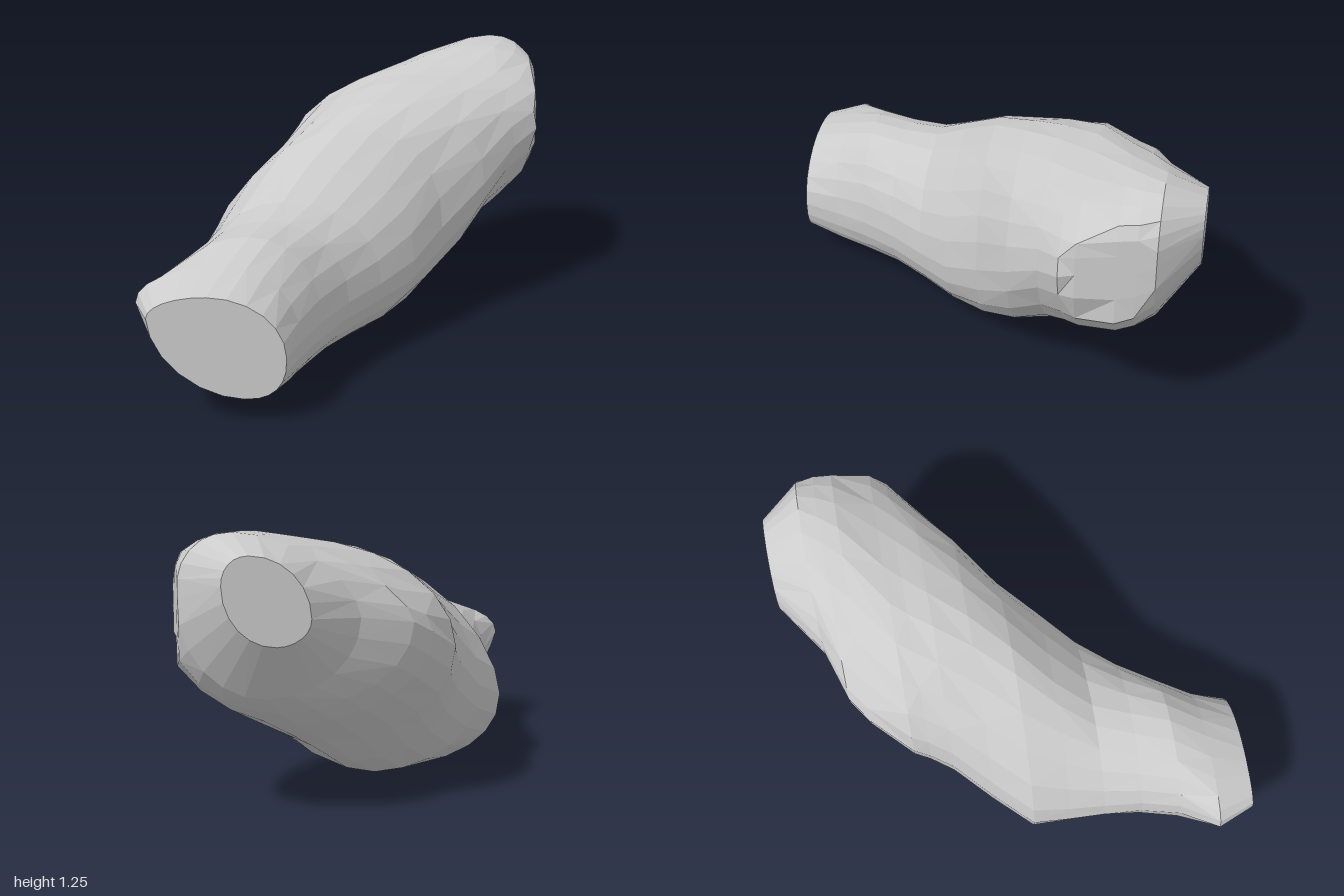
import * as THREE from 'three';

// Cross-sections along z: z, then (x, y) of the low-x, high-x, top and bottom extremes
const SECTIONS = [
  [1.00, -0.82, 0.48, -0.24, 0.31, -0.57, 0.58, -0.42, 0.12],
  [0.83, -0.89, 0.48, -0.19, 0.31, -0.50, 0.65, -0.42, 0.06],
  [0.67, -0.78, 0.42, -0.11, 0.33, -0.42, 0.72, -0.42, 0.03],
  [0.50, -0.73, 0.39, 0.00, 0.35, -0.36, 0.73, -0.36, 0.035],
  [0.33, -0.71, 0.36, 0.14, 0.37, -0.30, 0.76, -0.26, 0.04],
  [0.17, -0.70, 0.34, 0.29, 0.42, -0.20, 0.87, -0.20, 0.02],
  [0.00, -0.69, 0.34, 0.42, 0.52, -0.05, 1.00, -0.12, 0.00],
  [-0.17, -0.55, 0.42, 0.62, 0.68, 0.10, 1.08, -0.05, 0.03],
  [-0.33, -0.42, 0.56, 0.77, 0.82, 0.22, 1.13, 0.08, 0.13],
  [-0.43, -0.37, 0.63, 0.88, 0.88, 0.30, 1.15, 0.16, 0.21],
  [-0.50, -0.35, 0.68, 0.94, 0.90, 0.36, 1.17, 0.22, 0.27],
  [-0.67, -0.21, 0.78, 0.96, 0.92, 0.55, 1.23, 0.38, 0.40],
  [-0.75, -0.11, 0.84, 0.94, 0.94, 0.61, 1.24, 0.46, 0.47],
  [-0.83, 0.13, 0.88, 0.89, 0.98, 0.66, 1.245, 0.52, 0.55],
  [-1.00, 0.36, 0.91, 0.72, 1.05, 0.61, 1.17, 0.50, 0.80],
];
const SIDES = 24;
const CUT_X = 0.88; // flat cut on the side of the far end

const bump = (z, centre, width) => Math.exp(-(((z - centre) / width) ** 2));

// How much each corner of a section flattens: 1 is a round arc, 2 a straight chamfer
function flatness(z, right, upper) {
  if (right && upper) return 1 - 0.15 * bump(z, -0.4, 0.8);
  if (right) return 1 + 0.35 * bump(z, -0.35, 0.25) - 0.2 * bump(z, 1, 0.3);
  if (upper) return 1 + 0.25 * bump(z, 0.03, 0.3) + 0.35 * bump(z, -0.72, 0.15);
  return 1 + 0.4 * bump(z, 0.86, 0.12) + 0.25 * bump(z, 0.33, 0.13) - 0.12 * bump(z, 0, 0.12);
}

// Four quarter arcs joining the extremes
function ring([z, xl, yl, xr, yr, xt, yt, xb, yb]) {
  const points = [];
  for (let j = 0; j < SIDES; j++) {
    const t = (j / SIDES) * Math.PI * 2;
    const c = Math.cos(t), s = Math.sin(t);
    const right = c >= 0, upper = s >= 0;
    const p = flatness(z, right, upper);
    const u = Math.abs(c) ** p, v = Math.abs(s) ** p;
    const sideX = right ? xr : xl, sideY = right ? yr : yl;
    const endX = upper ? xt : xb, endY = upper ? yt : yb;
    points.push([Math.min(CUT_X, endX + (sideX - endX) * u), sideY + (endY - sideY) * v, z]);
  }
  return points;
}

export function createModel() {
  const rings = SECTIONS.map(ring);
  const positions = [];
  const triangle = (a, b, c) => positions.push(...a, ...b, ...c);

  // Skin between neighbouring sections, with alternating diagonals
  for (let i = 0; i < rings.length - 1; i++) {
    for (let j = 0; j < SIDES; j++) {
      const k = (j + 1) % SIDES;
      const a = rings[i][j], b = rings[i + 1][j], c = rings[i + 1][k], d = rings[i][k];
      if ((i + j) % 2) {
        triangle(a, b, d);
        triangle(b, c, d);
      } else {
        triangle(a, b, c);
        triangle(a, c, d);
      }
    }
  }

  // Flat cut ends
  const cap = (points) => {
    for (let j = 1; j < SIDES - 1; j++) triangle(points[0], points[j], points[j + 1]);
  };
  cap(rings[0]);
  cap([...rings[rings.length - 1]].reverse());

  const geometry = new THREE.BufferGeometry();
  geometry.setAttribute('position', new THREE.Float32BufferAttribute(positions, 3));
  geometry.computeVertexNormals();

  const body = new THREE.Mesh(
    geometry,
    new THREE.MeshStandardMaterial({ color: 0xcccccc, flatShading: true }),
  );
  body.name = 'body';

  const model = new THREE.Group();
  model.name = 'lumpyTube';
  model.add(body);
  return model;
}
